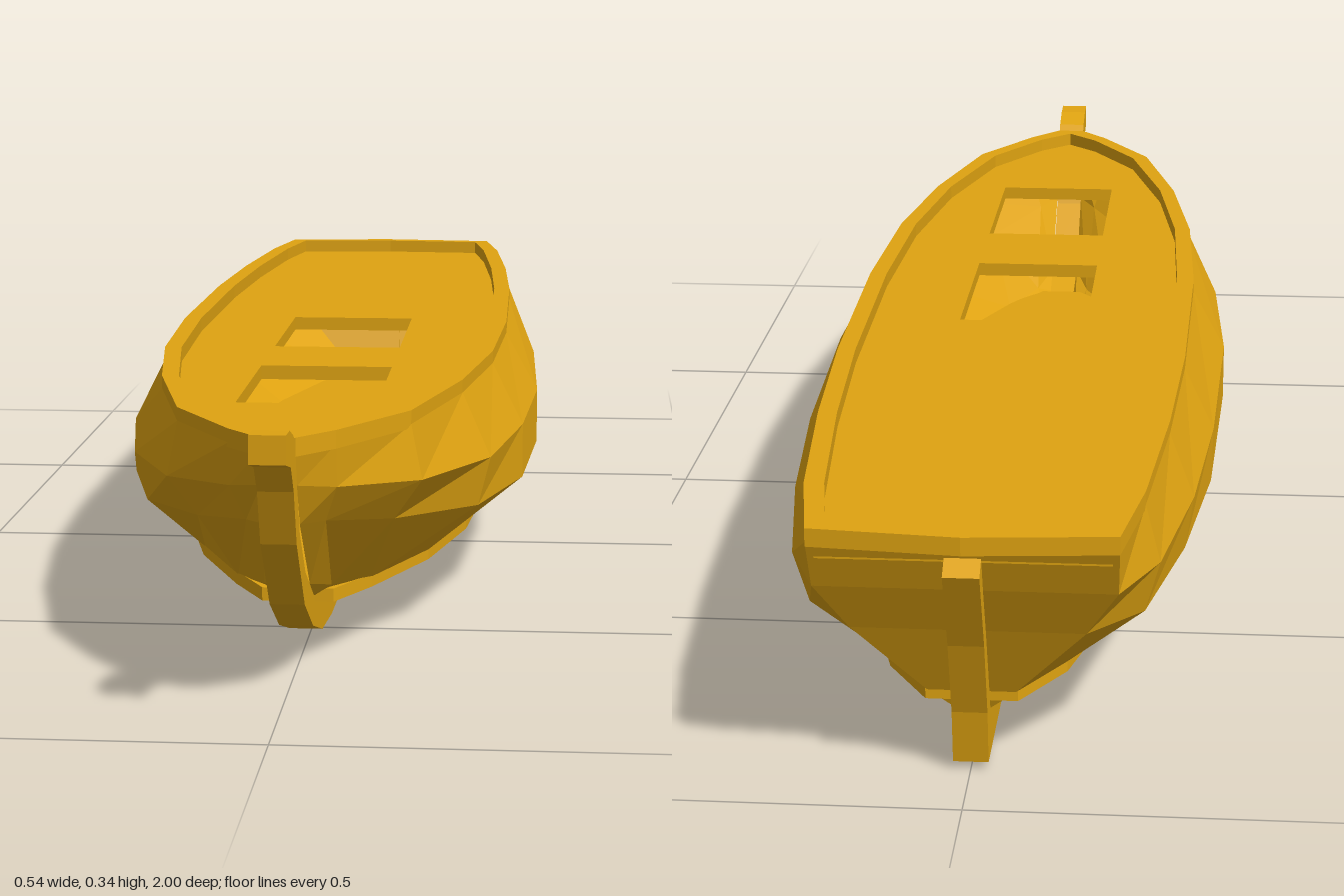
import * as THREE from 'three';

const wood = new THREE.MeshStandardMaterial({ color: 0xdfa311, flatShading: true, side: THREE.DoubleSide });
wood.name = 'golden wood';

// Hull lines from stern to bow, each point [half width, height, z]
const rail = [[.168, -.98], [.19, -.84], [.21, -.6], [.222, -.35], [.226, 0], [.215, .27], [.185, .5], [.135, .72], [.06, .85], [.02, .9]]
  .map(([x, z]) => [x, .3, z]);
const upperChine = [[.166, .24, -.955], [.207, .228, -.83], [.24, .22, -.6], [.26, .22, -.35], [.27, .22, 0],
  [.255, .22, .27], [.22, .22, .5], [.148, .235, .72], [.06, .25, .84], [.02, .26, .885]];
const lowerChine = [[.13, .18, -.925], [.19, .165, -.82], [.23, .155, -.6], [.258, .15, -.35], [.27, .147, 0],
  [.255, .15, .27], [.205, .16, .5], [.115, .185, .7], [.045, .205, .81], [.02, .21, .855]];
const garboard = [[.05, .09, -.885], [.1, .09, -.8], [.15, .09, -.6], [.185, .09, -.35], [.2, .09, 0],
  [.18, .09, .27], [.14, .09, .45], [.08, .09, .6], [.04, .1, .68], [.02, .115, .74]];
const bottom = [[.02, .065, -.875], [.03, .06, -.8], [.05, .05, -.6], [.07, .042, -.35], [.075, .04, 0],
  [.065, .04, .27], [.05, .042, .42], [.035, .05, .54], [.025, .07, .62], [.015, .09, .7]];

function part(name, geometry) {
  const mesh = new THREE.Mesh(geometry, wood);
  mesh.name = name;
  return mesh;
}

// Loft the mirrored hull lines into a shell and close the stern
function hullGeometry() {
  const half = [rail, upperChine, lowerChine, garboard, bottom];
  const n = half.length * 2;
  const positions = [], index = [];
  rail.forEach((_, i) => {
    half.forEach(line => positions.push(...line[i]));
    [...half].reverse().forEach(line => positions.push(-line[i][0], line[i][1], line[i][2]));
  });
  const quad = (a, b, c, d) => index.push(a, b, c, a, c, d);
  for (let i = 0; i < rail.length - 1; i++) {
    for (let j = 0; j < n - 1; j++) {
      const a = i * n + j;
      quad(a, a + n, a + n + 1, a + 1);
    }
  }
  for (let j = 0; j < half.length - 1; j++) quad(j, j + 1, n - 2 - j, n - 1 - j);
  const geometry = new THREE.BufferGeometry();
  geometry.setAttribute('position', new THREE.Float32BufferAttribute(positions, 3));
  geometry.setIndex(index);
  const flat = geometry.toNonIndexed();
  flat.computeVertexNormals();
  return flat;
}

// Symmetrical plan outline from [half width, z] pairs, stern to bow
const plan = pairs => [
  ...pairs.map(([x, z]) => new THREE.Vector2(x, z)),
  ...[...pairs].reverse().filter(([x]) => x > 0).map(([x, z]) => new THREE.Vector2(-x, z)),
];

// Horizontal slab with its top at the given height
function slab(outline, holes, top, depth) {
  const shape = new THREE.Shape(outline);
  holes.forEach(h => shape.holes.push(new THREE.Path(h)));
  return new THREE.ExtrudeGeometry(shape, { depth, bevelEnabled: false }).rotateX(Math.PI / 2).translate(0, top, 0);
}

export function createModel() {
  const group = new THREE.Group();
  group.name = 'boatHull';

  group.add(part('hullPlanking', hullGeometry()));

  // Rail around the deck edge
  const outer = [[0, -.995], ...rail.map(([x, , z]) => [x, z])];
  const inner = [[0, -.973], [.148, -.963], [.167, -.84], [.187, -.6], [.199, -.35], [.203, 0], [.193, .27],
    [.164, .5], [.113, .71], [.045, .83], [0, .878]];
  group.add(part('rail', slab(plan(outer), [plan(inner)], .316, .021)));

  // Deck with two open hatches
  const hatch = (z0, z1) => plan([[.085, z0], [.085, z1]]);
  const deckEdge = rail.map(([x, , z]) => [Math.max(x - .008, .012), z * .992]);
  group.add(part('deck', slab(plan(deckEdge), [hatch(-.15, .13), hatch(.295, .575)], .297, .018)));

  // Floor inside the hull, its edge showing as a narrow strake
  const floorEdge = garboard.slice(0, 9).map(([x, , z]) => [x + .002, z]);
  group.add(part('floor', slab(plan(floorEdge), [], .095, .016)));

  // Stem, keel and stern post as one curved timber, drawn in profile as [z, y]
  const profile = [
    [1, .337], [.96, .335], [.92, .322], [.895, .3], [.87, .23], [.855, .2], [.79, .14], [.69, .09], [.58, .055], [.4, .043],
    [-.4, .043], [-.87, .063], [-.885, .11], [-.925, .2], [-.972, .285], [-.995, .27],
    [-.945, .17], [-.91, .075], [-.9, .01], [-.4, .003], [.3, .001], [.45, .006], [.58, .02],
    [.7, .055], [.8, .105], [.89, .195], [.92, .26], [.95, .293], [1, .305],
  ].map(([z, y]) => new THREE.Vector2(z, y));
  const timber = new THREE.ExtrudeGeometry(new THREE.Shape(profile), { depth: .04, bevelEnabled: false });
  group.add(part('keelAndStem', timber.rotateY(-Math.PI / 2).translate(.02, 0, 0)));

  return group;
}
